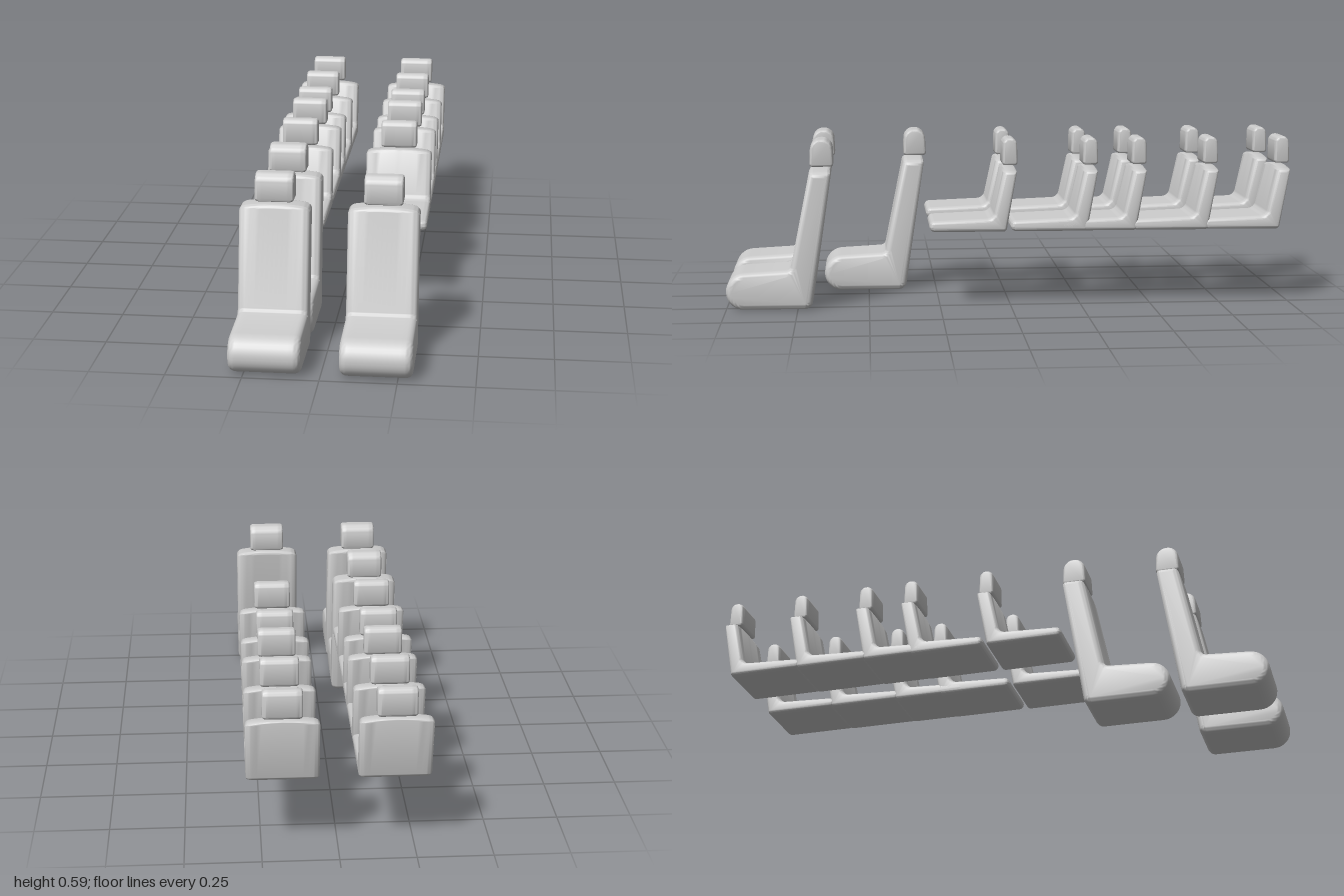
import * as THREE from 'three';
import { mergeVertices, toCreasedNormals } from 'three/addons/utils/BufferGeometryUtils.js';

const material = new THREE.MeshStandardMaterial({ color: 0xcccccc, side: THREE.DoubleSide });

// Closed outline in the (z, y) plane from corners [z, y, radius]
function roundedOutline(corners) {
  const shape = new THREE.Shape();
  const n = corners.length;
  corners.forEach(([z, y, r], i) => {
    const p = new THREE.Vector2(z, y);
    const toward = ([a, b]) => new THREE.Vector2(a, b).sub(p).normalize();
    const u = toward(corners[(i + n - 1) % n]);
    const v = toward(corners[(i + 1) % n]);
    const a = p.clone().addScaledVector(u, r);
    const b = p.clone().addScaledVector(v, r);
    if (i === 0) shape.moveTo(a.x, a.y);
    else shape.lineTo(a.x, a.y);
    // cubic handles approximate a circular fillet
    a.lerp(p, 0.55);
    const c = b.clone().lerp(p, 0.55);
    shape.bezierCurveTo(a.x, a.y, c.x, c.y, b.x, b.y);
  });
  shape.closePath();
  return shape;
}

// Sweep a side profile across x, with soft edges and an optional crowned top
function upholstery(corners, width, round, inset, crown = 0) {
  const depth = width - 2 * round;
  let geo = new THREE.ExtrudeGeometry(roundedOutline(corners), {
    depth, steps: 12, curveSegments: 8,
    bevelEnabled: true, bevelThickness: round, bevelSize: inset, bevelOffset: -inset, bevelSegments: 5,
  });
  geo.translate(0, 0, -depth / 2).rotateY(-Math.PI / 2);
  const pos = geo.attributes.position;
  for (let i = 0; i < pos.count; i++) {
    const y = pos.getY(i);
    if (y > 0.44) {
      const t = pos.getX(i) / (width / 2);
      pos.setY(i, y - crown * t * t * (y - 0.44) / 0.05);
    }
  }
  geo.deleteAttribute('uv');
  geo.deleteAttribute('normal');
  geo = mergeVertices(geo, 1e-5);
  return toCreasedNormals(geo, 0.7);
}

// Side profiles, z measured from the headrest centre
const tallBody = upholstery([
  [0.337, 0.004, 0.062], [0.337, 0.13, 0.062], [0.112, 0.142, 0.015],
  [0.042, 0.493, 0.014], [-0.034, 0.493, 0.014], [0.038, 0.003, 0.025],
], 0.236, 0.024, 0.02, 0.01);
const shortBody = upholstery([
  [0.287, 0.272, 0.018], [0.287, 0.309, 0.018], [0.062, 0.318, 0.022],
  [0.026, 0.493, 0.01], [-0.022, 0.493, 0.01], [0.016, 0.27, 0.012],
], 0.236, 0.02, 0.012, 0.01);

function headrestGeometry(depth) {
  const d = depth / 2;
  return upholstery([
    [d, 0.5, 0.01], [d * 0.9, 0.596, d * 0.85],
    [-d * 0.9, 0.596, d * 0.85], [-d, 0.5, 0.01],
  ], 0.128, 0.014, 0.008);
}
const tallHeadrest = headrestGeometry(0.084);
const shortHeadrest = headrestGeometry(0.055);

function makeSeat(name, body, headrest, x, z) {
  const seat = new THREE.Group();
  seat.name = name;
  const shell = new THREE.Mesh(body, material);
  shell.name = 'cushionAndBackrest';
  const head = new THREE.Mesh(headrest, material);
  head.name = 'headrest';
  seat.add(shell, head);
  seat.position.set(x, 0, z);
  return seat;
}

export function createModel() {
  const model = new THREE.Group();
  model.name = 'seatRows';
  const X = 0.18;

  // Tall front seats, with one more behind on the right
  for (const [x, z] of [[-X, 0.663], [X, 0.663], [-X, 0.326]]) {
    model.add(makeSeat('tallSeat', tallBody, tallHeadrest, x, z));
  }

  // Raised rear rows in two columns
  for (const z of [0, -0.286, -0.46, -0.716, -0.973]) {
    for (const x of [-X, X]) {
      model.add(makeSeat('shortSeat', shortBody, shortHeadrest, x, z));
    }
  }
  return model;
}
